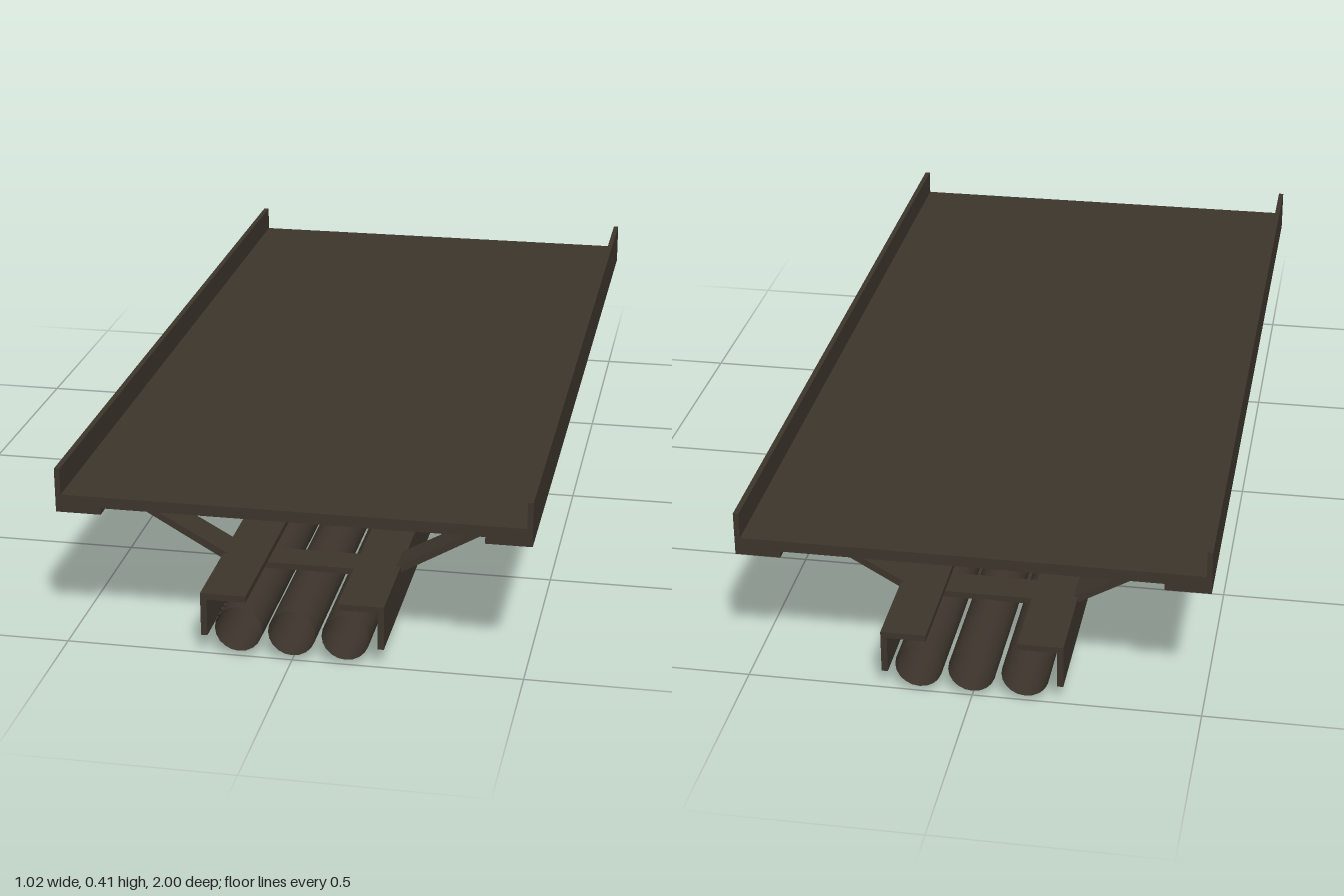
import * as THREE from 'three';

export function createModel() {
  const model = new THREE.Group();
  const steel = new THREE.MeshStandardMaterial({ color: 0x3d352c, side: THREE.DoubleSide });
  steel.name = 'dark brown steel';

  const add = (name, geometry) => {
    const mesh = new THREE.Mesh(geometry, steel);
    mesh.name = name;
    model.add(mesh);
    return mesh;
  };
  // Box given by its limits on each axis
  const box = (name, x0, x1, y0, y1, z0 = -1, z1 = 1) =>
    add(name, new THREE.BoxGeometry(x1 - x0, y1 - y0, z1 - z0))
      .position.set((x0 + x1) / 2, (y0 + y1) / 2, (z0 + z1) / 2);
  // Box mirrored to both sides
  const pair = (name, x0, x1, ...rest) => {
    box(name + 'Left', x0, x1, ...rest);
    box(name + 'Right', -x1, -x0, ...rest);
  };

  // Walkway deck with its edge angles
  box('deck', -0.5, 0.5, 0.322, 0.347);
  pair('kickPlate', 0.5, 0.512, 0.307, 0.406);
  pair('deckLip', 0.413, 0.5, 0.307, 0.322);

  // Lower angle rails
  pair('railTop', 0.1, 0.2, 0.127, 0.141);
  pair('railSide', 0.186, 0.2, 0.042, 0.127);

  // Sloping struts and cross bars
  const section = new THREE.Shape([
    [0.185, 0.138], [0.2, 0.127], [0.512, 0.307], [0.488, 0.307],
  ].map(([x, y]) => new THREE.Vector2(x, y)));
  for (const z of [-0.75, -0.25, 0.25, 0.75]) {
    for (const side of [1, -1]) {
      const geometry = new THREE.ExtrudeGeometry(section, { depth: 0.08, bevelEnabled: false });
      const strut = add(side > 0 ? 'strutLeft' : 'strutRight', geometry);
      strut.position.z = z + side * -0.04;
      // Half turn carries the section to the other side
      if (side < 0) strut.rotation.y = Math.PI;
    }
    box('crossBar', -0.186, 0.186, 0.113, 0.127, z - 0.04, z + 0.04);
  }

  // Open pipes slung below
  for (const x of [-0.117, 0, 0.117]) {
    const geometry = new THREE.CylinderGeometry(0.052, 0.052, 2, 20, 1, true);
    const pipe = add('pipe', geometry.rotateX(Math.PI / 2));
    pipe.position.set(x, 0.063, 0);
  }

  // U-shaped pipe hangers
  for (const z of [-0.5, 0.5]) {
    box('hangerBase', -0.184, 0.184, 0, 0.011, z - 0.02, z + 0.02);
    pair('hangerArm', 0.174, 0.184, 0.011, 0.098, z - 0.02, z + 0.02);
  }
  return model;
}
